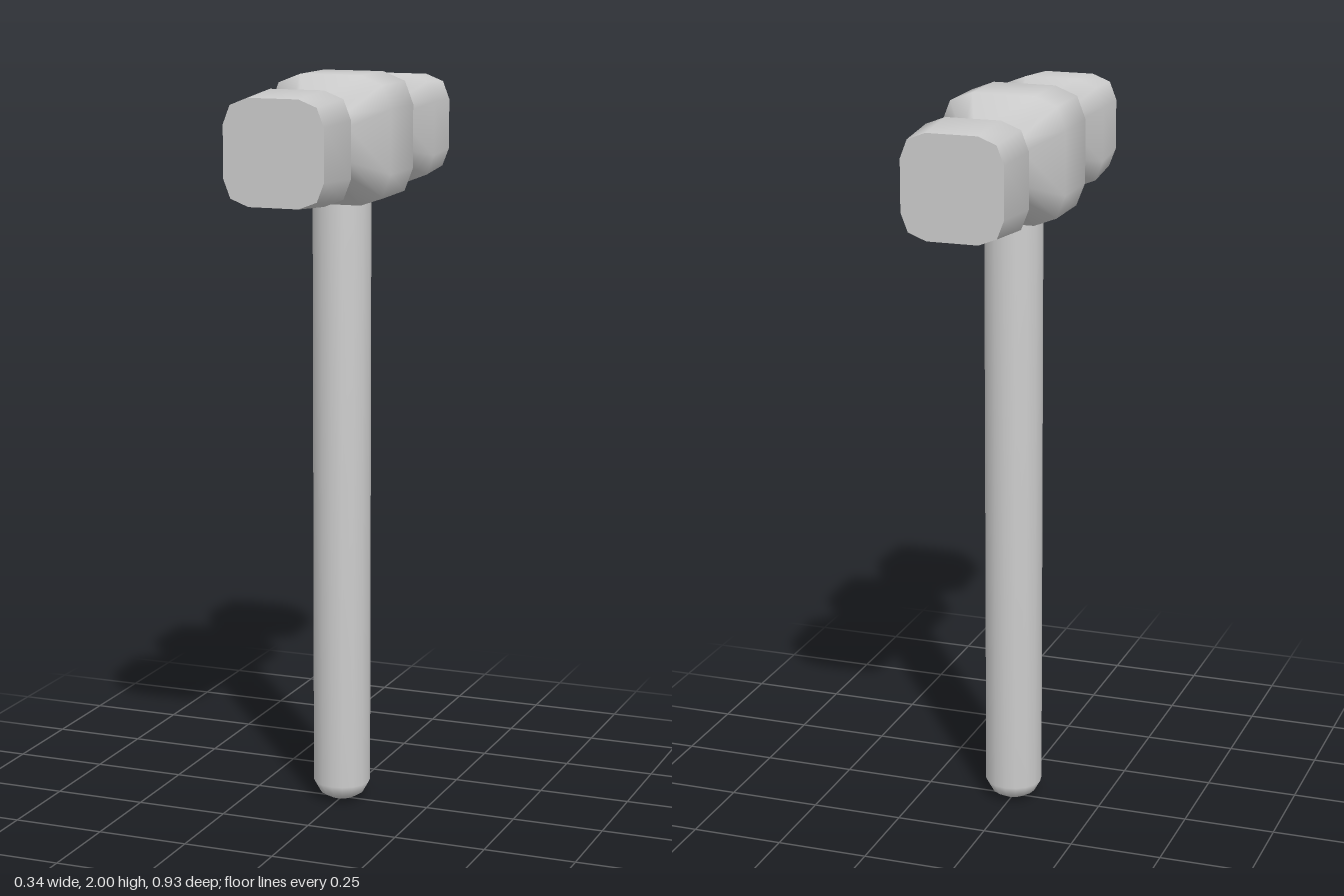
import * as THREE from 'three';

const material = new THREE.MeshStandardMaterial({ color: 0xcccccc });

// Unit rounded square, counter-clockwise seen from +z
function roundedSquare() {
  const points = [];
  for (let k = 0; k < 4; k++) {
    const c = [1, 0, -1, 0][k], s = [0, 1, 0, -1][k];
    for (const [x, y] of [[1, 0.5], [0.86, 0.86], [0.5, 1]]) {
      points.push(new THREE.Vector2(x * c - y * s, x * s + y * c));
    }
  }
  return points;
}

// Smooth skin through scaled copies of the outline: stations are [z, half width]
function loft(outline, stations) {
  const n = outline.length, position = [], index = [];
  for (const [z, r] of stations) {
    for (const p of outline) position.push(p.x * r, p.y * r, z);
  }
  for (let i = 0; i < stations.length - 1; i++) {
    for (let j = 0; j < n; j++) {
      const a = i * n + j, b = i * n + (j + 1) % n;
      index.push(a, b, b + n, a, b + n, a + n);
    }
  }
  const geometry = new THREE.BufferGeometry();
  geometry.setAttribute('position', new THREE.Float32BufferAttribute(position, 3));
  geometry.setIndex(index);
  geometry.computeVertexNormals();
  return geometry;
}

function add(parent, name, geometry) {
  const mesh = new THREE.Mesh(geometry, material);
  mesh.name = name;
  parent.add(mesh);
  return mesh;
}

export function createModel() {
  const model = new THREE.Group();
  model.name = 'hammer';

  // Double-faced head, the same shape fore and aft
  const head = new THREE.Group();
  head.name = 'head';
  head.position.y = 1.831;
  model.add(head);
  const half = [[0.084, 0.169], [0.182, 0.088], [0.311, 0.147], [0.467, 0.136]];
  const stations = [...half.map(([z, r]) => [-z, r]).reverse(), ...half];
  const outline = roundedSquare();
  add(head, 'headBody', loft(outline, stations));

  // Flat striking faces
  const [faceZ, faceSize] = half[half.length - 1];
  for (const side of [1, -1]) {
    const shape = new THREE.Shape(outline.map(p => p.clone().multiplyScalar(faceSize)));
    const face = add(head, side > 0 ? 'frontFace' : 'backFace', new THREE.ShapeGeometry(shape));
    face.position.z = side * faceZ;
    if (side < 0) face.rotation.y = Math.PI;
  }

  // Round handle with a blunt rounded butt, set into the head
  const profile = [[0, 0], [0.035, 0.006], [0.06, 0.02], [0.078, 0.052], [0.078, 1.7], [0, 1.7]];
  add(model, 'handle', new THREE.LatheGeometry(profile.map(([r, y]) => new THREE.Vector2(r, y)), 16));

  return model;
}
